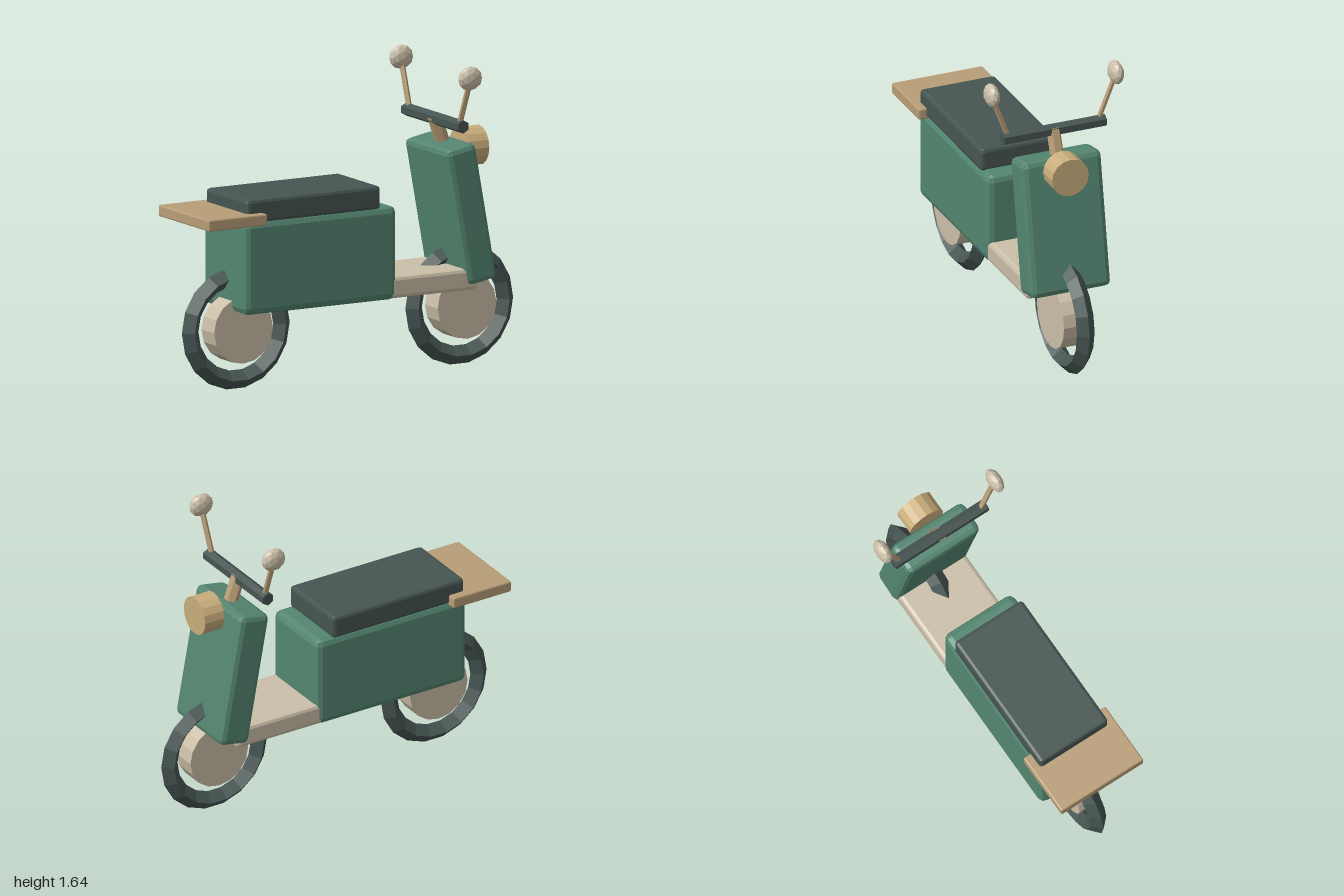
import * as THREE from 'three';
import { RoundedBoxGeometry } from 'three/addons/geometries/RoundedBoxGeometry.js';

function makeMaterial(name, color) {
  const m = new THREE.MeshStandardMaterial({ color, flatShading: true });
  m.name = name;
  return m;
}

export function createModel() {
  const green = makeMaterial('green paint', 0x548671);
  const dark = makeMaterial('dark rubber', 0x465552);
  const cream = makeMaterial('cream', 0xcbbfa8);
  const tan = makeMaterial('tan', 0xb99e78);
  const brass = makeMaterial('brass', 0xc9ad7c);

  const group = new THREE.Group();
  group.name = 'scooter';

  function add(name, geometry, material, x = 0, y = 0, z = 0) {
    const mesh = new THREE.Mesh(geometry, material);
    mesh.name = name;
    mesh.position.set(x, y, z);
    group.add(mesh);
    return mesh;
  }

  // Chamfered box given by its extents in x and y, and its half width in z
  function box(name, material, x0, x1, y0, y1, halfZ, bevel) {
    const geometry = new RoundedBoxGeometry(x1 - x0, y1 - y0, halfZ * 2, 1, bevel);
    return add(name, geometry, material, (x0 + x1) / 2, (y0 + y1) / 2, 0);
  }

  // Straight rod between two points
  function rod(name, material, from, to, radius, sides) {
    const a = new THREE.Vector3(...from);
    const b = new THREE.Vector3(...to);
    const dir = b.clone().sub(a);
    const mesh = add(name, new THREE.CylinderGeometry(radius, radius, dir.length(), sides), material);
    mesh.position.copy(a).lerp(b, 0.5);
    mesh.quaternion.setFromUnitVectors(new THREE.Vector3(0, 1, 0), dir.normalize());
    return mesh;
  }

  // Wheels: diamond-section tyre and a hub that stands out on the left
  for (const [name, x] of [['rear', -0.675], ['front', 0.672]]) {
    add(name + 'Tyre', new THREE.TorusGeometry(0.275, 0.05, 4, 18), dark, x, 0.33, 0);
    const hub = new THREE.CylinderGeometry(0.177, 0.177, 0.13, 16).rotateX(Math.PI / 2);
    add(name + 'Hub', hub, cream, x, 0.33, 0.015);
  }

  // Body, seat, luggage rack and footboard
  box('body', green, -0.745, 0.175, 0.43, 0.925, 0.215, 0.035);
  box('seat', dark, -0.73, 0.075, 0.915, 1.04, 0.212, 0.018);
  box('rack', tan, -0.99, -0.635, 0.907, 0.968, 0.256, 0.008);
  box('footboard', cream, -0.095, 0.662, 0.435, 0.55, 0.208, 0.02);

  // Leaning leg shield
  const shield = box('legShield', green, 0.531, 0.711, 0.466, 1.204, 0.225, 0.03);
  shield.rotation.z = 0.18;

  // Headlight
  const lamp = new THREE.CylinderGeometry(0.104, 0.104, 0.118, 16).rotateZ(Math.PI / 2);
  add('headlight', lamp, brass, 0.724, 1.158, 0.015);

  // Steering stem and handlebar
  rod('stem', tan, [0.59, 1.14, 0], [0.522, 1.33, 0], 0.038, 6);
  const bar = new THREE.CylinderGeometry(0.035, 0.035, 0.58, 6).rotateX(Math.PI / 2);
  add('handlebar', bar, dark, 0.525, 1.32, 0);

  // Mirrors on splayed stalks
  for (const side of [1, -1]) {
    const name = side > 0 ? 'left' : 'right';
    rod(name + 'MirrorStalk', tan, [0.523, 1.33, side * 0.255], [0.53, 1.57, side * 0.348], 0.015, 6);
    const head = new THREE.IcosahedronGeometry(1, 1).scale(0.07, 0.064, 0.038);
    add(name + 'Mirror', head, cream, 0.53, 1.585, side * 0.35);
  }

  return group;
}
